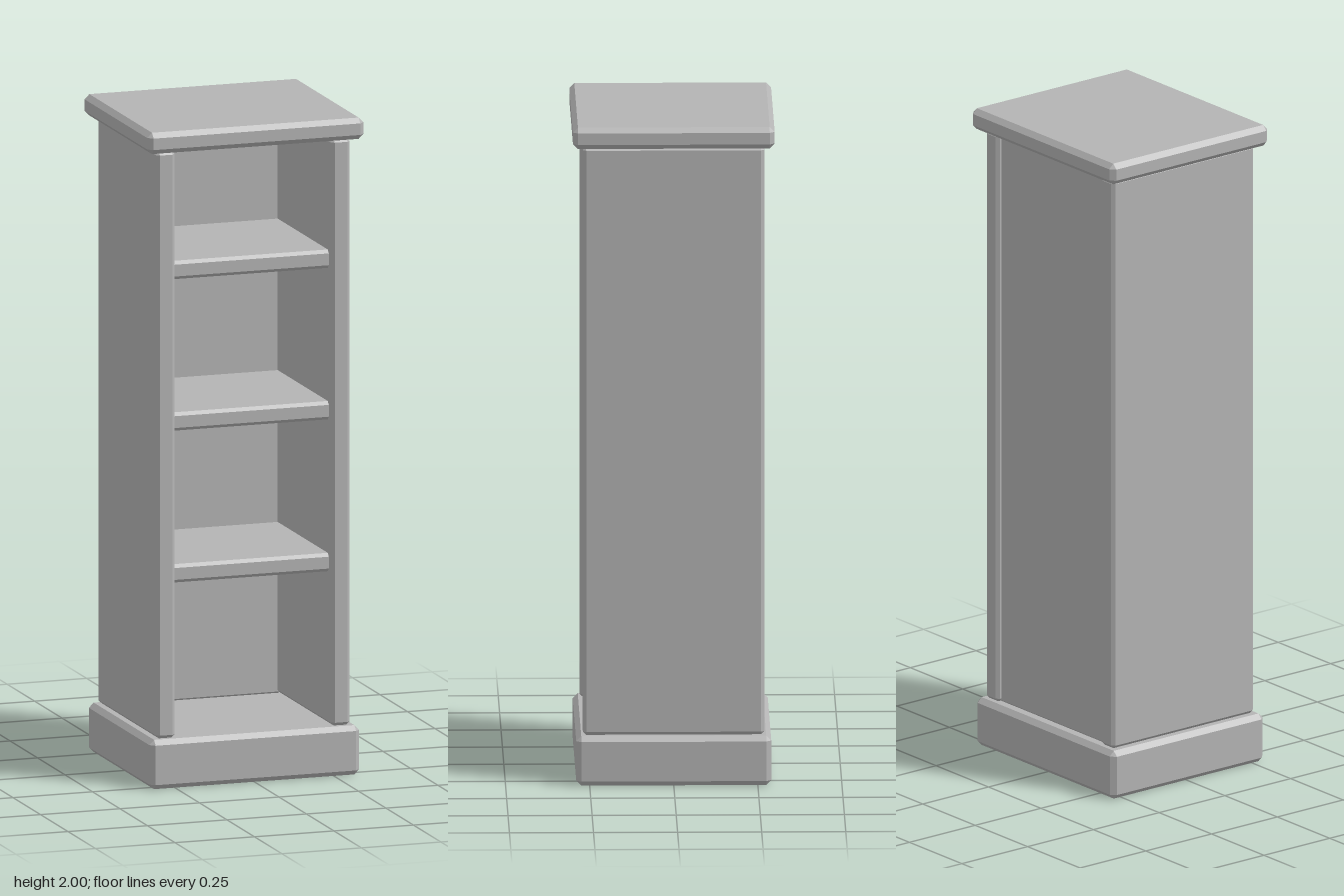
import * as THREE from 'three';
import { ConvexGeometry } from 'three/addons/geometries/ConvexGeometry.js';

// Box between two corners with every edge bevelled by c.
function chamferBox([x0, y0, z0], [x1, y1, z1], c) {
  const h = [(x1 - x0) / 2, (y1 - y0) / 2, (z1 - z0) / 2];
  const points = [];
  for (const sx of [-1, 1]) for (const sy of [-1, 1]) for (const sz of [-1, 1]) {
    for (let face = 0; face < 3; face++) {
      const p = h.map((v, axis) => (axis === face ? v : v - c));
      points.push(new THREE.Vector3(p[0] * sx, p[1] * sy, p[2] * sz));
    }
  }
  const geometry = new ConvexGeometry(points);
  geometry.translate((x0 + x1) / 2, (y0 + y1) / 2, (z0 + z1) / 2);
  return geometry;
}

export function createModel() {
  const group = new THREE.Group();
  const grey = new THREE.MeshStandardMaterial({ color: 0xb4b4b4 });
  grey.name = 'plainGrey';

  const add = (name, min, max, c) => {
    const mesh = new THREE.Mesh(chamferBox(min, max, c), grey);
    mesh.name = name;
    group.add(mesh);
  };

  // Plinth and overhanging top board
  add('plinth', [-0.33, 0, -0.29], [0.33, 0.15, 0.29], 0.015);
  add('topBoard', [-0.34, 1.935, -0.3], [0.34, 2, 0.3], 0.015);

  // Side panels
  add('leftSide', [0.245, 0.15, -0.27], [0.305, 1.935, 0.27], 0.01);
  add('rightSide', [-0.305, 0.15, -0.27], [-0.245, 1.935, 0.27], 0.01);

  // Back panel, set just inside the sides
  add('backPanel', [-0.255, 0.15, -0.255], [0.255, 1.935, -0.22], 0.005);

  // Shelves, their ends housed in the sides
  for (const y of [0.615, 1.077, 1.538]) {
    add('shelf', [-0.26, y, -0.235], [0.26, y + 0.056, 0.245], 0.01);
  }

  return group;
}
